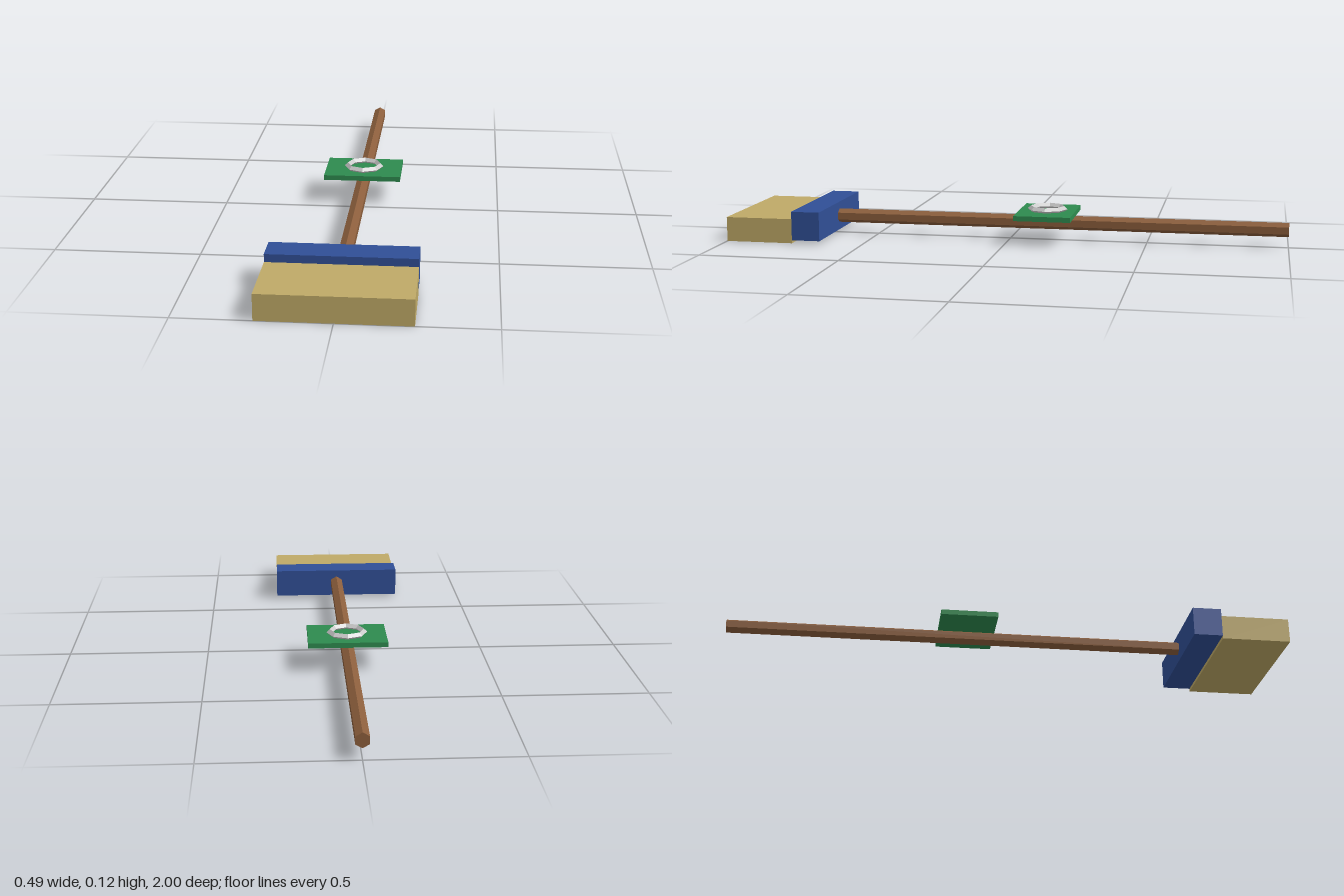
import * as THREE from 'three';

export function createModel() {
  const group = new THREE.Group();

  const add = (name, geometry, color, x, y, z) => {
    const material = new THREE.MeshStandardMaterial({ color, flatShading: true });
    const mesh = new THREE.Mesh(geometry, material);
    mesh.name = name;
    mesh.position.set(x, y, z);
    group.add(mesh);
    return mesh;
  };

  // Broom head: straw block and the taller binding behind it
  add('bristles', new THREE.BoxGeometry(0.488, 0.088, 0.245), 0xbfaa67, 0, 0.044, 0.8775);
  add('binding', new THREE.BoxGeometry(0.488, 0.104, 0.103), 0x304f96, 0, 0.063, 0.7035);

  // Hexagonal handle with an edge along its top
  const handle = new THREE.CylinderGeometry(0.0255, 0.0255, 1.655, 6);
  handle.rotateX(Math.PI / 2);
  add('handle', handle, 0x8b5e3c, 0, 0.064, -0.1725);

  // Plate resting on the handle, carrying a faceted ring
  add('plate', new THREE.BoxGeometry(0.28, 0.018, 0.205), 0x2e8b4f, 0, 0.098, -0.137);
  const ring = new THREE.TorusGeometry(0.061, 0.0115, 4, 8);
  ring.rotateX(Math.PI / 2);
  add('ring', ring, 0xcccccc, 0, 0.1135, -0.137);

  return group;
}
